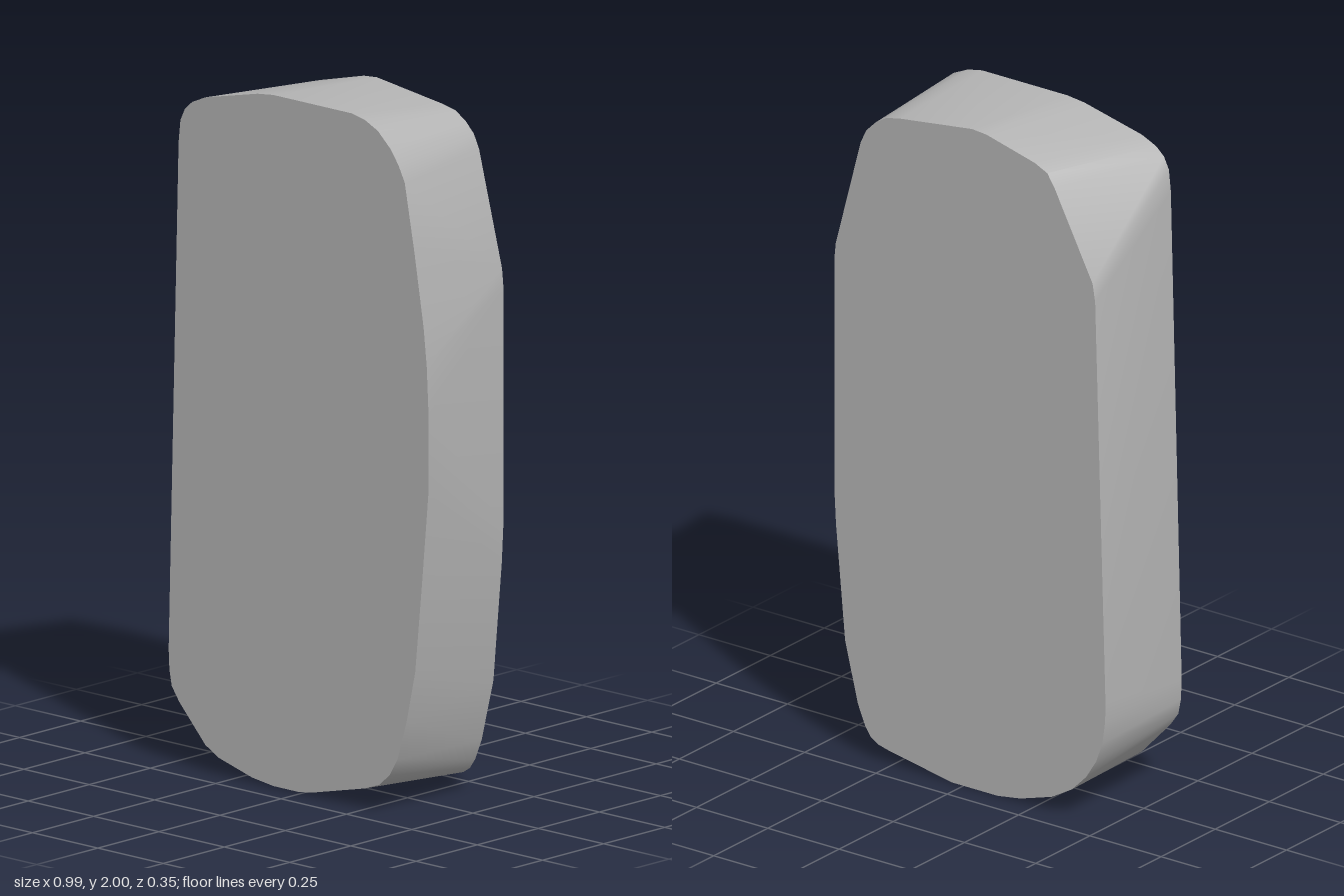
import * as THREE from 'three';
import { ConvexGeometry } from 'three/addons/geometries/ConvexGeometry.js';
import { toCreasedNormals } from 'three/addons/utils/BufferGeometryUtils.js';

// Outlines of the two flat faces, as [x, y] going clockwise from the upper -x corner
const FRONT = [
  [-0.462, 1.8], [-0.455, 1.865], [-0.438, 1.9], [-0.41, 1.925], [-0.36, 1.947], [-0.16, 1.993], [-0.1, 2],
  [0.2, 2], [0.25, 1.99], [0.3, 1.967], [0.35, 1.922], [0.38, 1.88], [0.403, 1.835],
  [0.44, 1.64], [0.475, 1.43], [0.487, 1.32], [0.494, 1.18], [0.494, 0.96], [0.47, 0.7], [0.443, 0.43],
  [0.41, 0.28], [0.375, 0.165], [0.345, 0.115], [0.305, 0.08], [0.25, 0.06],
  [0.06, 0.015], [0, 0.005], [-0.1, 0.005], [-0.18, 0.015], [-0.31, 0.05], [-0.36, 0.078],
  [-0.46, 0.185], [-0.488, 0.225], [-0.497, 0.27], [-0.5, 0.33],
];
const BACK = [
  [-0.462, 1.58], [-0.453, 1.635], [-0.32, 1.89], [-0.294, 1.93], [-0.25, 1.95], [-0.08, 1.993], [-0.03, 1.997],
  [0.22, 1.965], [0.27, 1.955], [0.31, 1.93], [0.34, 1.9], [0.36, 1.86],
  [0.448, 1.53], [0.453, 1.48], [0.453, 0.79], [0.447, 0.68], [0.415, 0.335],
  [0.37, 0.155], [0.345, 0.095], [0.325, 0.066], [0.3, 0.05], [0.26, 0.04],
  [0.04, 0], [-0.12, 0], [-0.2, 0.012], [-0.31, 0.045], [-0.38, 0.085], [-0.43, 0.135],
  [-0.465, 0.19], [-0.487, 0.25], [-0.497, 0.32], [-0.498, 0.38],
];
const HALF_DEPTH = 0.175;

export function createModel() {
  const group = new THREE.Group();
  const stoneGray = new THREE.MeshStandardMaterial({ color: 0xb4b4b4 });
  stoneGray.name = 'stoneGray';

  // Convex slab spanning the two outlines: flat faces, softly rounded rim
  const at = (z) => ([x, y]) => new THREE.Vector3(x, y, z);
  const points = [...FRONT.map(at(HALF_DEPTH)), ...BACK.map(at(-HALF_DEPTH))];
  const slab = new THREE.Mesh(toCreasedNormals(new ConvexGeometry(points), Math.PI / 6), stoneGray);
  slab.name = 'slab';
  group.add(slab);
  return group;
}
